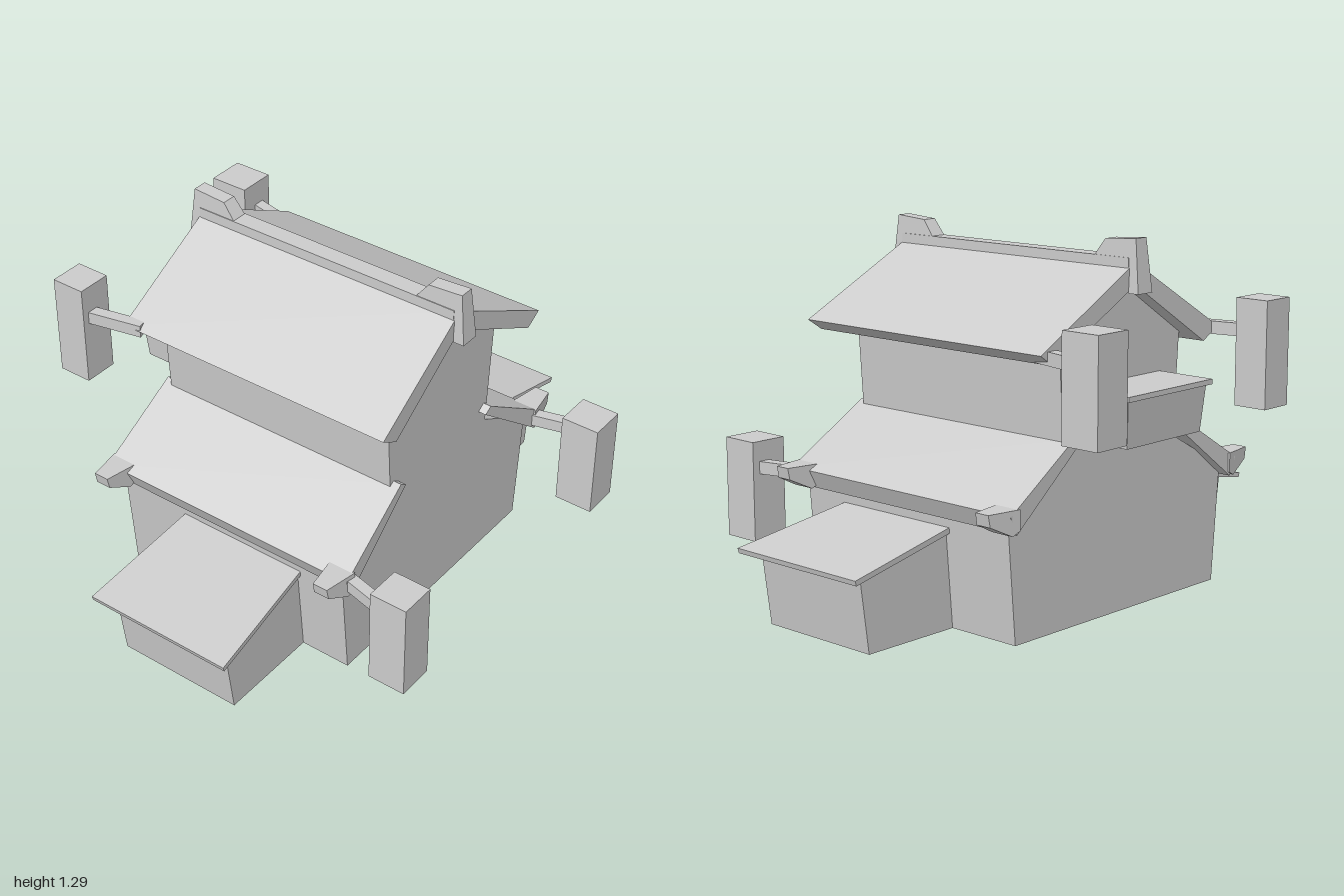
import * as THREE from 'three';

const material = new THREE.MeshStandardMaterial({ color: 0xcccccc, flatShading: true, side: THREE.DoubleSide });

// Outline in (z, y) run along x; halfWidth may depend on z.
function prism(points, halfWidth, cx = 0) {
  const shape = new THREE.Shape(points.map(([z, y]) => new THREE.Vector2(z, y)));
  const geo = new THREE.ExtrudeGeometry(shape, { depth: 2, bevelEnabled: false });
  geo.rotateY(-Math.PI / 2).translate(1, 0, 0);
  const p = geo.attributes.position;
  for (let i = 0; i < p.count; i++) {
    const w = typeof halfWidth === 'function' ? halfWidth(p.getZ(i)) : halfWidth;
    p.setX(i, cx + p.getX(i) * w);
  }
  geo.computeVertexNormals();
  return geo;
}

// Drops the faces lying on the ground, leaving a hollow shell.
function openBottom(geo) {
  const p = geo.attributes.position, kept = [];
  for (let i = 0; i < p.count; i += 3) {
    if ([0, 1, 2].every(k => p.getY(i + k) < 0.001)) continue;
    for (let k = 0; k < 3; k++) kept.push(p.getX(i + k), p.getY(i + k), p.getZ(i + k));
  }
  const shell = new THREE.BufferGeometry();
  shell.setAttribute('position', new THREE.Float32BufferAttribute(kept, 3));
  shell.computeVertexNormals();
  return shell;
}

const box = (x0, x1, y0, y1, z0, z1) =>
  new THREE.BoxGeometry(x1 - x0, y1 - y0, z1 - z0).translate((x0 + x1) / 2, (y0 + y1) / 2, (z0 + z1) / 2);

export function createModel() {
  const group = new THREE.Group();
  const add = (name, geo) => {
    const mesh = new THREE.Mesh(geo, material);
    mesh.name = name;
    group.add(mesh);
    return mesh;
  };
  const mix = (z, z0, z1, a, b) => a + (b - a) * (Math.abs(z) - z0) / (z1 - z0);

  // Two-storey house with gable ends
  const half = [[0.52, 0], [0.555, 0.42], [0.285, 0.57], [0.31, 0.94]];
  const outline = [...half, [0, 1.14], ...half.map(([z, y]) => [-z, y]).reverse()];
  add('houseBody', openBottom(prism(outline, 0.475)));

  for (const s of [1, -1]) {
    const side = s > 0 ? 'front' : 'back';
    const flip = pts => pts.map(([z, y]) => [z * s, y]);

    // Upper roof slope, longer at the back
    const eave = s > 0 ? [[0.435, 0.945], [0.36, 0.9]] : [[0.48, 0.955], [0.42, 0.915]];
    add(side + 'UpperRoof', prism(flip([[0, 1.205], ...eave, [0, 1.13]]), z => mix(z, 0, 0.45, 0.533, 0.546)));

    // Lower roof slope
    add(side + 'LowerRoof', prism(flip([[0.27, 0.65], [0.59, 0.45], [0.56, 0.385], [0.24, 0.63]]),
      z => mix(z, 0.25, 0.59, 0.505, 0.52)));

    // Beam ends at the corners of the lower roof
    for (const cx of [-0.475, 0.475]) {
      add(side + 'BeamEnd', prism(flip([[0.55, 0.47], [0.675, 0.47], [0.667, 0.428], [0.58, 0.385], [0.55, 0.4]]),
        z => mix(z, 0.58, 0.675, 0.045, 0.028), cx));
    }

    // Porch with a lean-to roof
    add(side + 'Porch', openBottom(prism(flip([[0.5, 0], [0.9, 0], [0.937, 0.275], [0.5, 0.35]]), 0.238, 0.047)));
    add(side + 'PorchRoof', prism(flip([[0.51, 0.36], [1, 0.275], [0.995, 0.257], [0.51, 0.34]]),
      z => mix(z, 0.52, 1, 0.25, 0.285), 0.045));
  }

  // Ridge beam and its raised ends
  add('ridgeBeam', box(-0.53, 0.53, 1.14, 1.222, -0.033, 0.033));
  for (const s of [1, -1]) {
    const pts = [[0.38, 1.22], [0.425, 1.278], [0.555, 1.287], [0.575, 1.105], [0.535, 1.105], [0.53, 1.18], [0.38, 1.18]];
    const shape = new THREE.Shape(pts.map(([x, y]) => new THREE.Vector2(x * s, y)));
    const geo = new THREE.ExtrudeGeometry(shape, { depth: 2, bevelEnabled: false }).translate(0, 0, -1);
    const p = geo.attributes.position;
    for (let i = 0; i < p.count; i++) p.setZ(i, p.getZ(i) * (0.037 - (p.getY(i) - 1.1) * 0.055));
    geo.computeVertexNormals();
    add('ridgeEnd', geo);
  }

  // Projecting bay on the right wall, narrower at its foot
  const bay = box(-0.685, -0.46, 0.628, 0.8, -0.215, 0.195);
  const bp = bay.attributes.position;
  for (let i = 0; i < bp.count; i++) {
    if (bp.getY(i) > 0.7) continue;
    bp.setZ(i, bp.getZ(i) * 0.93);
    if (bp.getX(i) < -0.6) bp.setX(i, -0.67);
  }
  bay.computeVertexNormals();
  add('sideBay', bay);
  add('sideBayRoof', box(-0.7, -0.46, 0.79, 0.808, -0.23, 0.207));

  // Hanging box lanterns: x0, x1, y0, y1, z0, z1, then arm start and end
  const lanterns = [
    [0.66, 0.8, 0.165, 0.525, 0.52, 0.655, [0.47, 0.43, 0.55], [0.68, 0.43, 0.6]],
    [0.66, 0.805, 0.165, 0.525, -0.65, -0.508, [0.47, 0.43, -0.55], [0.68, 0.43, -0.605]],
    [-0.8, -0.673, 0.69, 1.063, 0.37, 0.498, [-0.48, 0.942, 0.41], [-0.69, 0.942, 0.455]],
    [-0.81, -0.662, 0.69, 1.055, -0.512, -0.37, [-0.48, 0.942, -0.41], [-0.68, 0.942, -0.455]],
  ];
  for (const [x0, x1, y0, y1, z0, z1, from, to] of lanterns) {
    add('lantern', box(x0, x1, y0, y1, z0, z1));
    const a = new THREE.Vector3(...from), b = new THREE.Vector3(...to);
    const arm = add('lanternArm', new THREE.BoxGeometry(0.042, 0.045, a.distanceTo(b)));
    arm.position.copy(a).lerp(b, 0.5);
    arm.lookAt(b);
  }
  return group;
}
